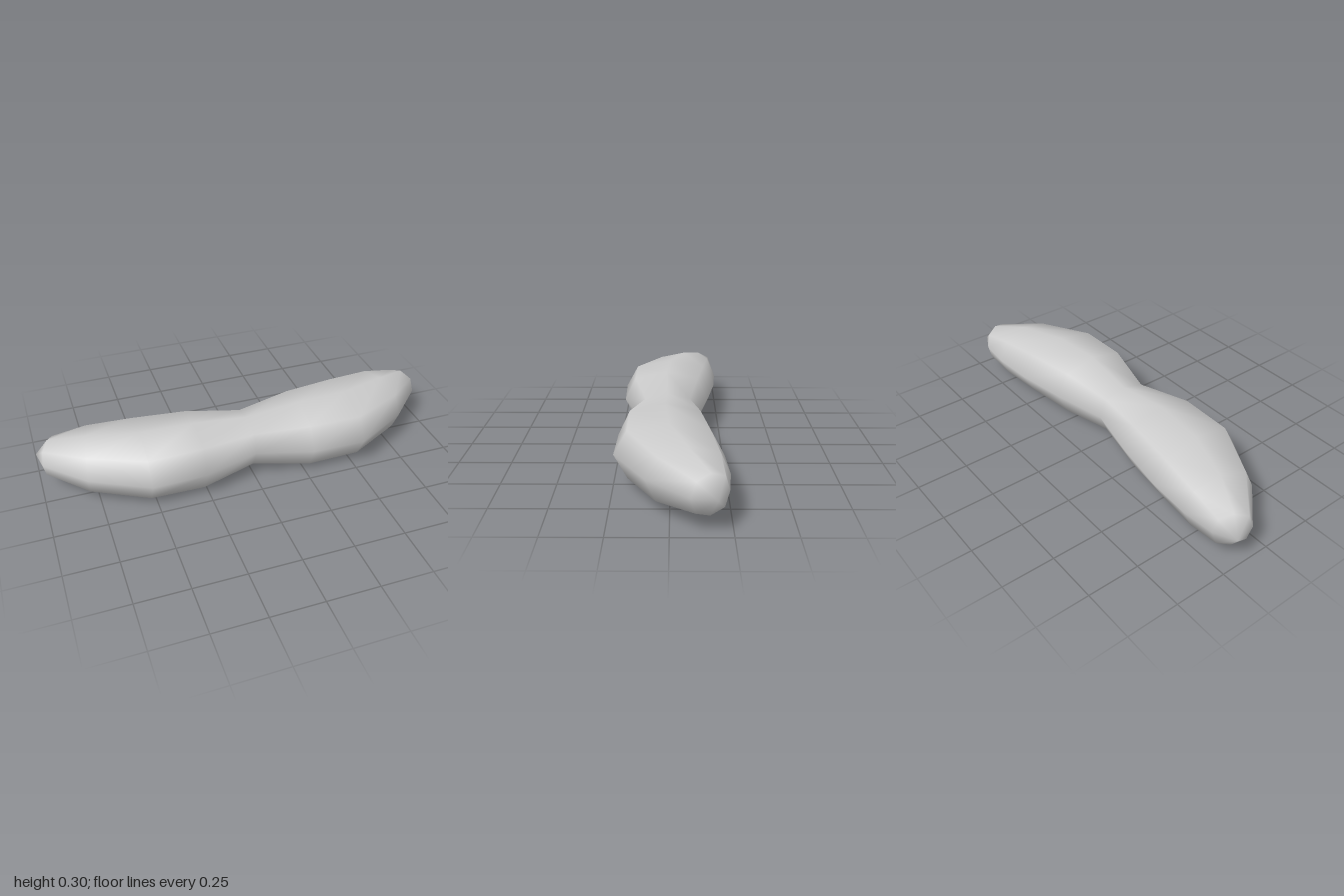
import * as THREE from 'three';

const SIDES = 8;
const MID_Y = 0.153;

// Half of the rings, from the waist outward: front x, front z, back x, back z, half height
const HALF = [
  [0, 0.16, 0, -0.13, 0.117],
  [0.27, 0.24, 0.27, -0.192, 0.152],
  [0.53, 0.246, 0.53, -0.235, 0.146],
  [0.8, 0.1, 0.74, -0.248, 0.13],
  [0.98, -0.08, 0.9, -0.235, 0.088],
];
const TIP = [1, MID_Y, -0.185];

// Slightly squared octagon: diagonal corners sit a little outside the ellipse
const squared = (v) => Math.sign(v) * Math.pow(Math.abs(v), 0.83);

function ringPoints([fx, fz, bx, bz, h], side) {
  const points = [];
  for (let j = 0; j < SIDES; j++) {
    const a = (j / SIDES) * Math.PI * 2;
    const t = (1 + squared(Math.cos(a))) / 2; // 1 at the front, 0 at the back
    points.push(
      side * THREE.MathUtils.lerp(bx, fx, t),
      MID_Y + h * squared(Math.sin(a)),
      THREE.MathUtils.lerp(bz, fz, t),
    );
  }
  return points;
}

function bodyGeometry() {
  const positions = [];
  const index = [];

  // Rings from the right end to the left end
  const rings = [
    ...HALF.slice(1).reverse().map((r) => ringPoints(r, -1)),
    ...HALF.map((r) => ringPoints(r, 1)),
  ];
  rings.forEach((r) => positions.push(...r));

  // Pointed ends
  const last = (rings.length - 1) * SIDES;
  const rightTip = rings.length * SIDES;
  const leftTip = rightTip + 1;
  positions.push(-TIP[0], TIP[1], TIP[2], ...TIP);

  for (let j = 0; j < SIDES; j++) {
    const k = (j + 1) % SIDES;
    for (let i = 0; i < rings.length - 1; i++) {
      const p = i * SIDES;
      const q = p + SIDES;
      index.push(p + j, q + j, q + k, p + j, q + k, p + k);
    }
    index.push(rightTip, j, k);
    index.push(last + j, leftTip, last + k);
  }

  const geometry = new THREE.BufferGeometry();
  geometry.setAttribute('position', new THREE.Float32BufferAttribute(positions, 3));
  geometry.setIndex(index);
  geometry.computeVertexNormals();
  return geometry;
}

export function createModel() {
  const group = new THREE.Group();
  const body = new THREE.Mesh(bodyGeometry(), new THREE.MeshStandardMaterial({ color: 0xcccccc }));
  body.name = 'curvedBody';
  group.add(body);
  return group;
}
